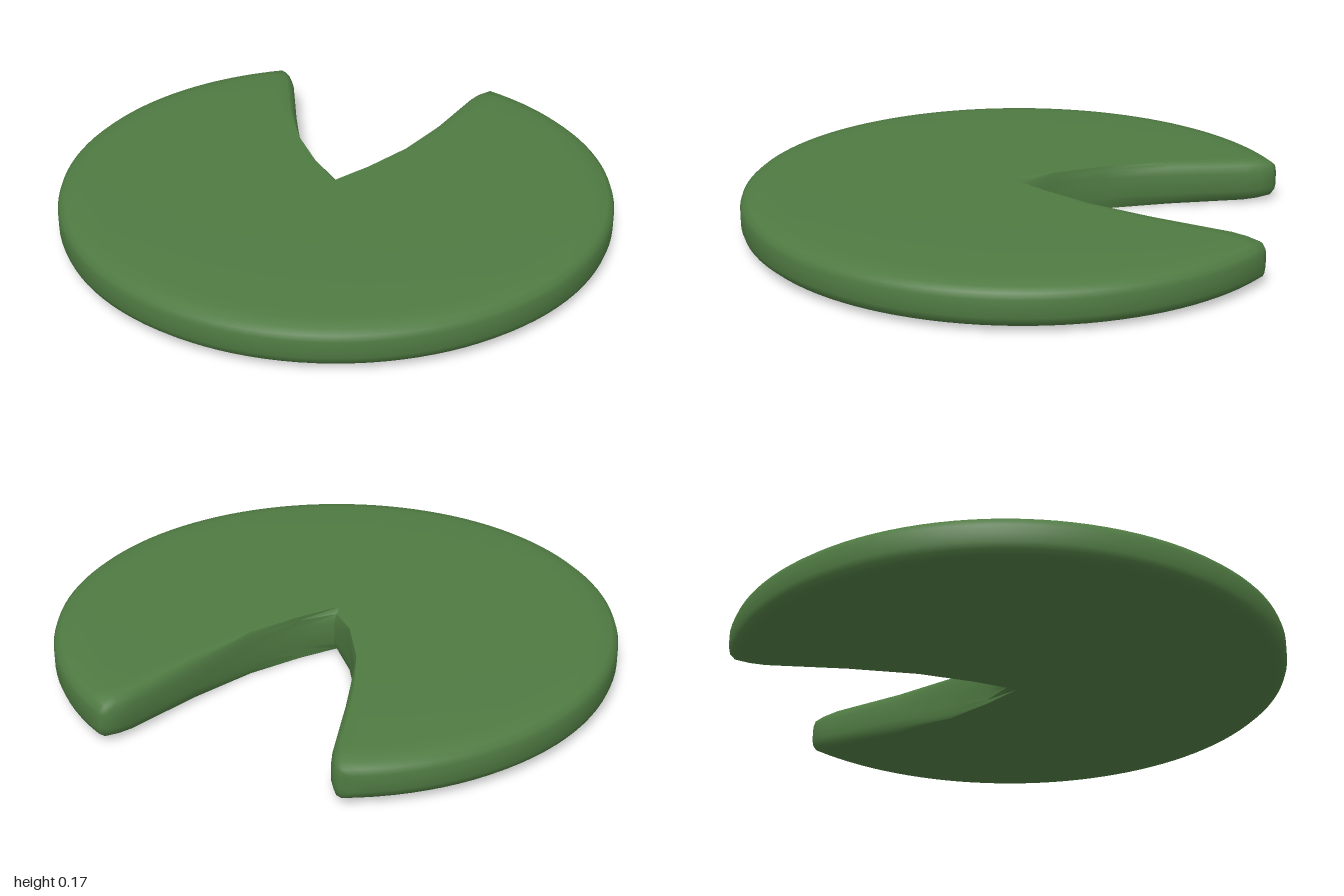
import * as THREE from 'three';
import { toCreasedNormals } from 'three/addons/utils/BufferGeometryUtils.js';

const MID_Y = 0.084;

// Rings from hub to rim: radius, notch x at mid height, notch x at the face, half thickness
const RINGS = [
  [0, 0, 0, 0.084],
  [0.164, 0.1, 0.1, 0.083],
  [0.36, 0.2, 0.205, 0.082],
  [0.6, 0.279, 0.3, 0.08],
  [0.872, 0.36, 0.385, 0.076],
  [0.926, 0.38, 0.408, 0.073],
  [0.975, 0.408, 0.43, 0.065],
  [0.993, 0.43, 0.445, 0.05],
  [1, 0.46, 0.465, 0.03],
  [1, 0.46, 0.465, 0],
];

// Columns around the pad: { s: sweep 0..1, bulge into the notch, thickness scale }
function makeColumns(steps) {
  const wall = [[1, 0], [1, 0.45], [0.65, 0.82]];
  const columns = wall.map(([bulge, scale]) => ({ s: 0, bulge, scale }));
  for (let k = 0; k <= steps; k++) columns.push({ s: k / steps, bulge: 0, scale: 1 });
  wall.reverse().forEach(([bulge, scale]) => columns.push({ s: 1, bulge, scale }));
  return columns;
}

function padPoint([radius, xMid, xFace, half], { s, bulge, scale }, side) {
  const y = MID_Y + side * half * scale;
  if (radius === 0) return new THREE.Vector3(0, y, -0.02 - 0.05 * bulge);
  const start = Math.asin(THREE.MathUtils.lerp(xFace, xMid, bulge) / radius);
  const angle = THREE.MathUtils.lerp(start, 2 * Math.PI - start, s);
  const centreZ = -0.02 - 0.035 * radius;
  return new THREE.Vector3(radius * Math.sin(angle), y, centreZ - radius * Math.cos(angle));
}

function padGeometry() {
  const columns = makeColumns(96);
  const positions = [];
  const addTriangle = (a, b, c) => {
    const area = b.clone().sub(a).cross(c.clone().sub(a)).length();
    if (area > 1e-9) for (const p of [a, b, c]) positions.push(p.x, p.y, p.z);
  };
  // Upper and lower skins meet at the rim and along the notch walls
  for (const side of [1, -1]) {
    const grid = RINGS.map((ring) => columns.map((column) => padPoint(ring, column, side)));
    for (let i = 0; i < RINGS.length - 1; i++) {
      for (let j = 0; j < columns.length - 1; j++) {
        const a = grid[i][j], b = grid[i][j + 1], c = grid[i + 1][j], d = grid[i + 1][j + 1];
        if (side > 0) {
          addTriangle(a, b, c);
          addTriangle(b, d, c);
        } else {
          addTriangle(a, c, b);
          addTriangle(b, c, d);
        }
      }
    }
  }
  const geometry = new THREE.BufferGeometry();
  geometry.setAttribute('position', new THREE.Float32BufferAttribute(positions, 3));
  return toCreasedNormals(geometry, 0.95);
}

export function createModel() {
  const group = new THREE.Group();
  group.name = 'lilyPad';
  // Floating leaf with a notch at the back
  const leaf = new THREE.Mesh(padGeometry(), new THREE.MeshStandardMaterial({ color: 0x4f7a42 }));
  leaf.name = 'leaf';
  group.add(leaf);
  return group;
}
